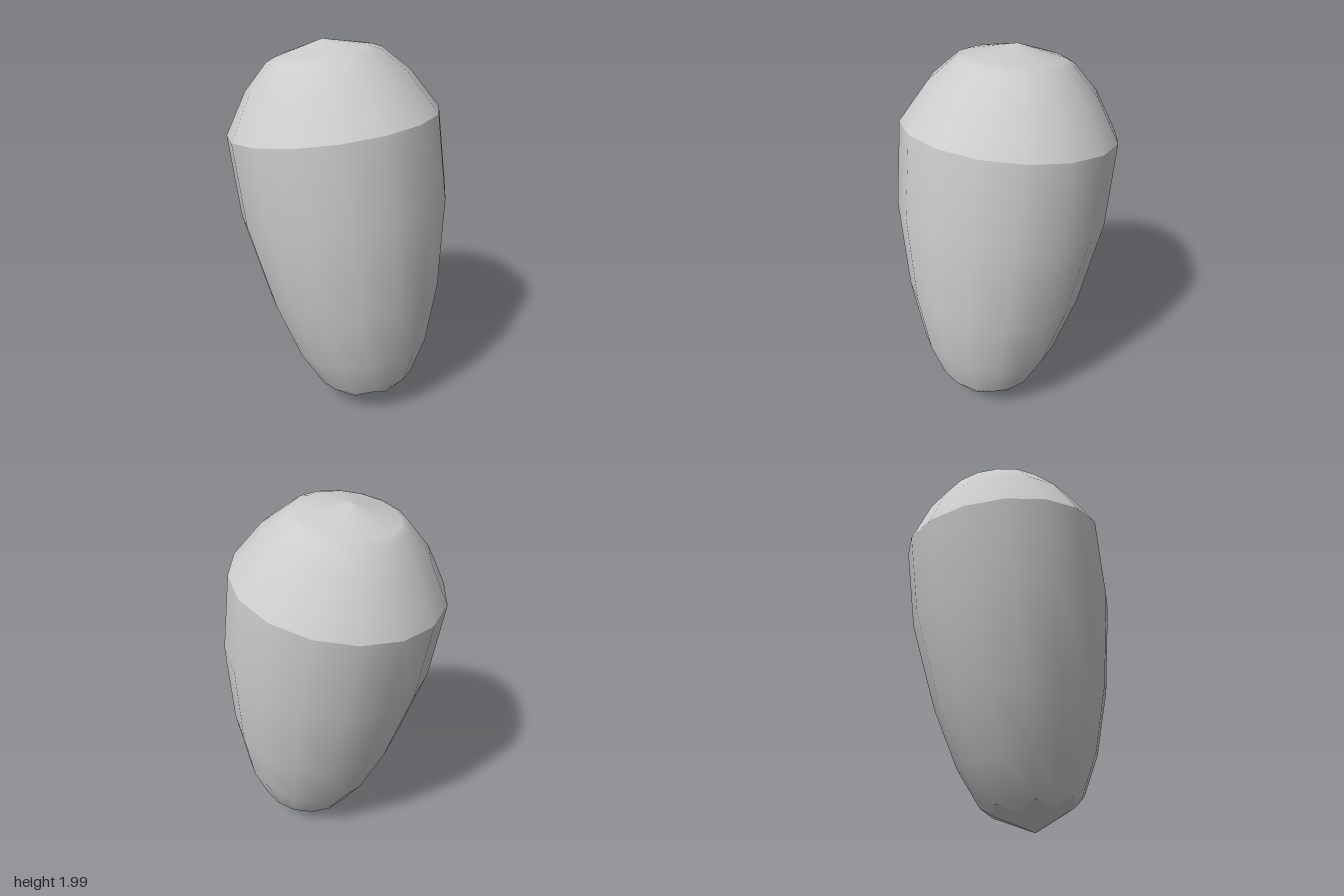
import * as THREE from 'three';

const SIDES = 16;
const PHASE = -0.07;

// Profiles are [radius, height along the tilted axis], with the rim at height 0
const UPPER_RING = [0.27, -1.455];
const LOWER_RING = [0.222, -1.507];
const BODY = [LOWER_RING, UPPER_RING, [0.37, -1.248], [0.465, -0.915], [0.545, -0.437], [0.547, 0]];
const DOME = [[0.547, 0], [0.418, 0.206], [0.29, 0.333], [0.245, 0.352], [0, 0.41]];
const TIP = [[0, -1.605], LOWER_RING];

function lathe(profile) {
  const points = profile.map(([r, y]) => new THREE.Vector2(r, y));
  return new THREE.LatheGeometry(points, SIDES, PHASE, Math.PI * 2);
}

// Raise every second corner of one row to the upper ring, giving a zigzag seam
function zigzag(geometry, rows, row) {
  const pos = geometry.attributes.position;
  for (let i = 0; i <= SIDES; i += 2) {
    const a = PHASE + (i / SIDES) * Math.PI * 2;
    pos.setXYZ(i * rows + row, UPPER_RING[0] * Math.sin(a), UPPER_RING[1], UPPER_RING[0] * Math.cos(a));
  }
  return geometry;
}

export function createModel() {
  const model = new THREE.Group();
  const grey = new THREE.MeshStandardMaterial({ color: 0xcccccc });
  grey.name = 'light grey';

  const shell = new THREE.Group();
  shell.name = 'tiltedShell';
  shell.position.set(0, 1.592, -0.03);
  shell.rotation.x = -0.161;
  model.add(shell);

  const add = (name, geometry) => {
    const mesh = new THREE.Mesh(geometry, grey);
    mesh.name = name;
    shell.add(mesh);
  };

  // Tapered body, shallow dome above the rim, blunt point below
  add('taperedBody', zigzag(lathe(BODY), BODY.length, 0));
  add('domeTop', lathe(DOME));
  add('bottomTip', zigzag(lathe(TIP), TIP.length, 1));

  return model;
}
